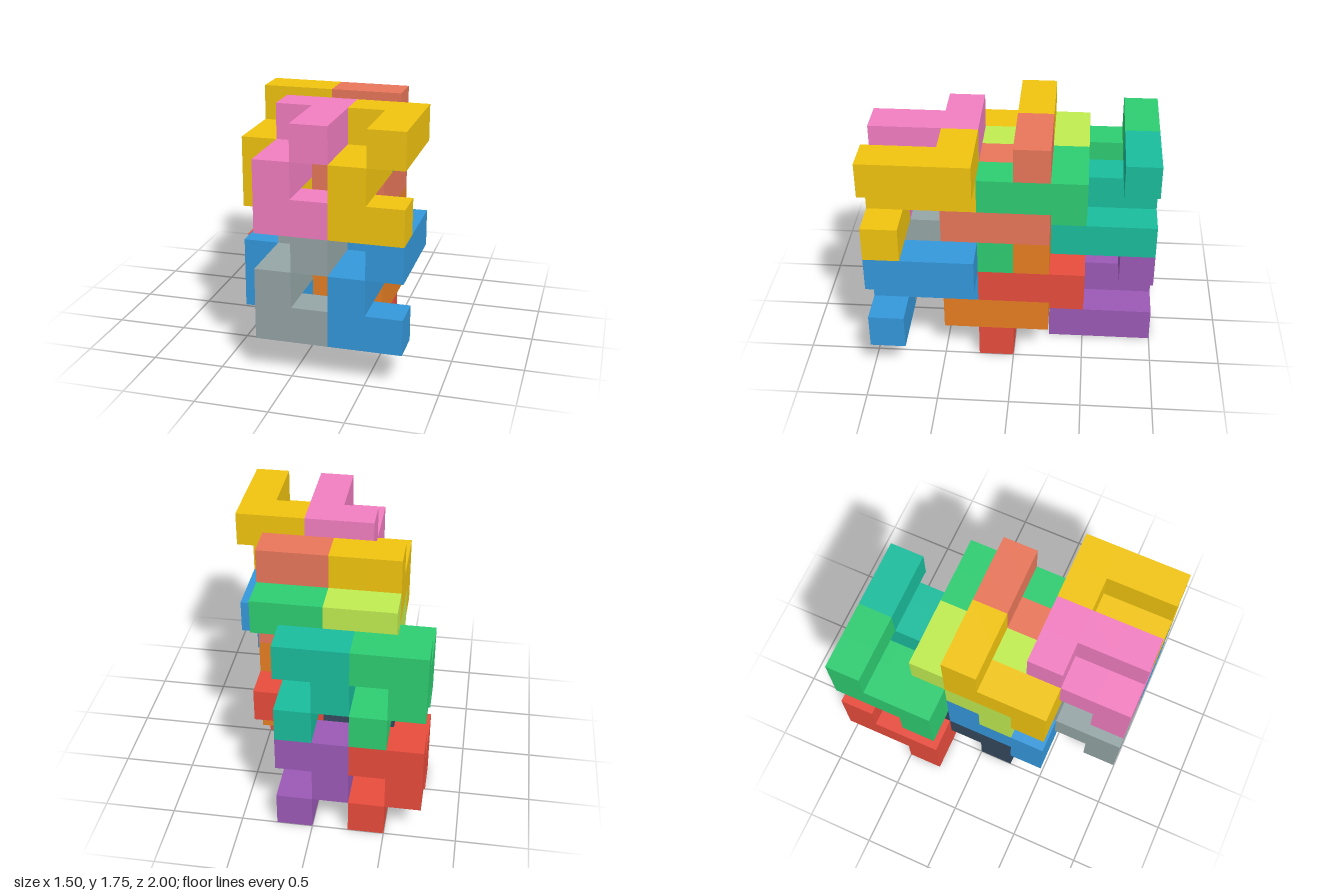
import * as THREE from 'three';
import { mergeGeometries, mergeVertices, toCreasedNormals } from 'three/addons/utils/BufferGeometryUtils.js';

const U = 0.25; // edge of one cube cell

// Cells of the interlocking piece: a Z-shaped spine with two arms towards +x
const CELLS = [
  [0, 1, -1], [0, 0, -1], [0, 0, 0], [0, 0, 1], [0, -1, 1],
  [1, 1, -1], [1, 1, 0], [1, 1, 1], [1, -1, 1],
];

// Outer skin of the piece: one square for each cell side without a neighbour
function pieceGeometry() {
  const filled = new Set(CELLS.map(String));
  const sides = [[1, 0, 0], [-1, 0, 0], [0, 1, 0], [0, -1, 0], [0, 0, 1], [0, 0, -1]];
  const front = new THREE.Vector3(0, 0, 1);
  const squares = [];
  for (const cell of CELLS) {
    for (const side of sides) {
      if (filled.has(String(cell.map((c, a) => c + side[a])))) continue;
      const normal = new THREE.Vector3(...side);
      const square = new THREE.PlaneGeometry(U, U);
      square.applyQuaternion(new THREE.Quaternion().setFromUnitVectors(front, normal));
      square.translate(...cell.map((c, a) => (c + side[a] / 2) * U));
      square.deleteAttribute('uv');
      squares.push(square);
    }
  }
  return toCreasedNormals(mergeVertices(mergeGeometries(squares)), 0.5);
}

// Pairs of pieces from front to back: cell of the left piece, whether it is
// turned over, and colours [left, right] for the lower and the upper layer
const ROWS = [
  { name: 'front', cell: [4, 2, 6], turned: false, lower: [0x3498db, 0x95a5a6], upper: [0xf1c40f, 0xf27ec1] },
  { name: 'frontMiddle', cell: [3, 2, 4], turned: true, lower: [0xe67e22, 0x3498db], upper: [0xe8765a, 0xf1c40f] },
  { name: 'backMiddle', cell: [3, 1, 3], turned: false, lower: [0xe74c3c, 0x34495e], upper: [0x2ecc71, 0xc0ec50] },
  { name: 'back', cell: [2, 1, 1], turned: true, lower: [0x9b59b6, 0xe74c3c], upper: [0x1abc9c, 0x2ecc71] },
];

export function createModel() {
  const model = new THREE.Group();
  model.name = 'interlockingBlocks';
  const geometry = pieceGeometry();

  ['lower', 'upper'].forEach((layer, level) => {
    const group = new THREE.Group();
    group.name = layer + 'Layer';
    group.position.y = level * 3 * U;
    for (const row of ROWS) {
      row[layer].forEach((color, n) => {
        const piece = new THREE.Mesh(geometry, new THREE.MeshStandardMaterial({ color }));
        piece.name = row.name + (n ? 'RightPiece' : 'LeftPiece');
        const [i, j, k] = row.cell;
        piece.position.set((i - 2 * n - 2.5) * U, (j + 0.5) * U, (k - 3.5) * U);
        if (row.turned) piece.rotation.x = Math.PI;
        group.add(piece);
      });
    }
    model.add(group);
  });
  return model;
}
